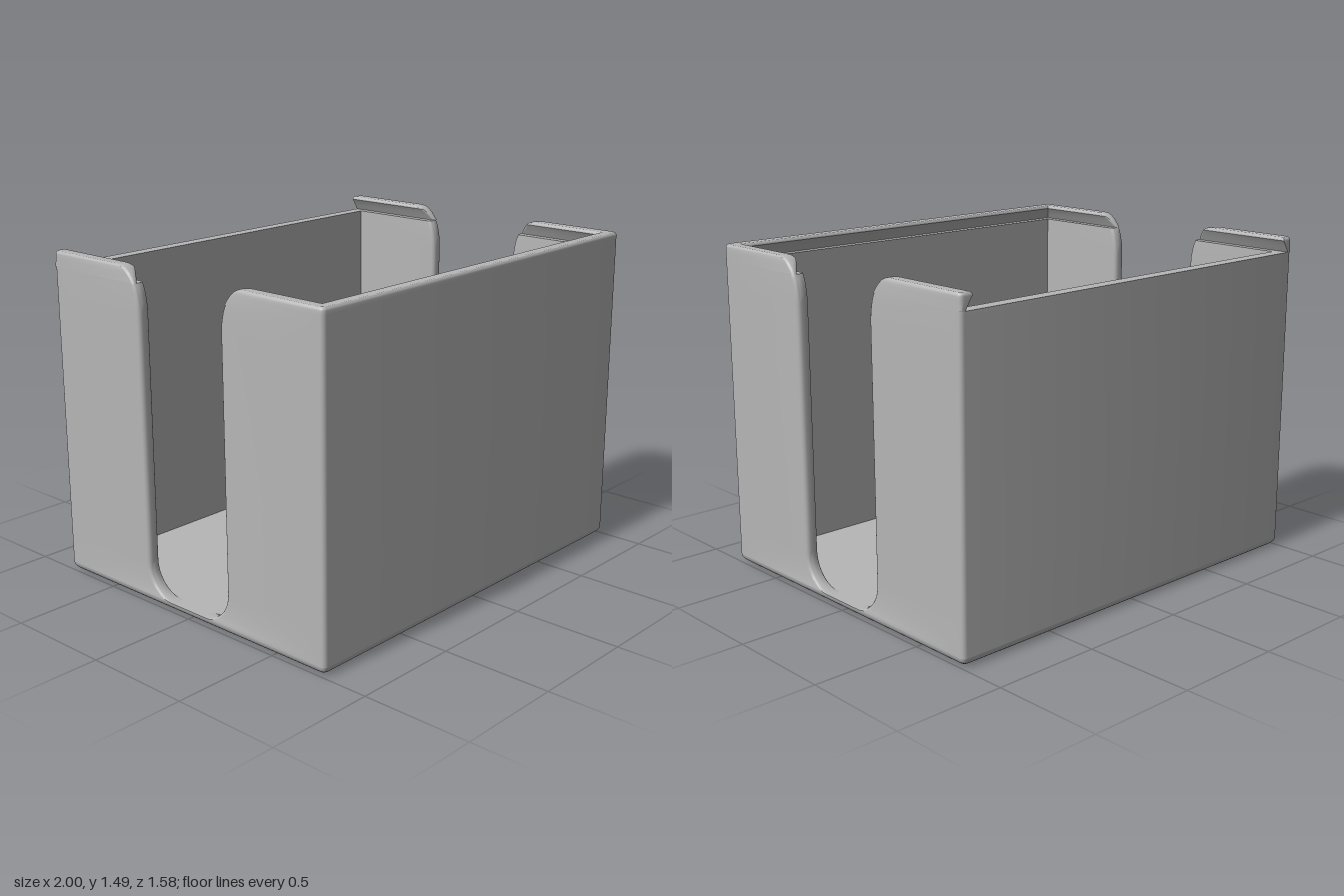
import * as THREE from 'three';
import { toCreasedNormals } from 'three/addons/utils/BufferGeometryUtils.js';

const HALF_X = 1, HALF_Z = 0.79, WALL = 0.06, FLOOR = 0.04;
const LEDGE = 1.42, TOP = 1.49, CORNER = 0.02;

// Half width of the finger slot at height y
function slotEdge(y) {
  if (y < 0.19) return 0.09 + 0.15 * Math.sqrt(Math.max(0, 1 - ((0.19 - y) / 0.15) ** 2));
  if (y > 1.3) return 0.36 - 0.12 * Math.sqrt(Math.max(0, 1 - ((y - 1.3) / 0.19) ** 2));
  return 0.24;
}

// Quarter arc points [x, z] around a centre
function arc(cx, cz, r, from, steps = 4) {
  return Array.from({ length: steps + 1 }, (_, i) => {
    const a = from + (i / steps) * Math.PI / 2;
    return [cx + r * Math.cos(a), cz + r * Math.sin(a)];
  });
}

// Joins horizontal [x, z] rings at rising heights into a closed solid
function loft(levels, ringAt) {
  const rings = levels.map((l) => ringAt(l).map(([x, z]) => new THREE.Vector2(x, -z)));
  if (THREE.ShapeUtils.isClockWise(rings[0])) rings.forEach((r) => r.reverse());
  const pos = [];
  const put = (k, i) => pos.push(rings[k][i].x, levels[k].y, -rings[k][i].y);
  const n = rings[0].length, last = rings.length - 1;
  for (let k = 0; k < last; k++) {
    for (let i = 0; i < n; i++) {
      const j = (i + 1) % n;
      put(k, i); put(k, j); put(k + 1, j);
      put(k, i); put(k + 1, j); put(k + 1, i);
    }
  }
  for (const [a, b, c] of THREE.ShapeUtils.triangulateShape(rings[0], [])) {
    put(0, a); put(0, c); put(0, b);
  }
  for (const [a, b, c] of THREE.ShapeUtils.triangulateShape(rings[last], [])) {
    put(last, a); put(last, b); put(last, c);
  }
  const geo = new THREE.BufferGeometry();
  geo.setAttribute('position', new THREE.Float32BufferAttribute(pos, 3));
  return toCreasedNormals(geo, 0.6);
}

// Rounded free end of a side wall, next to the slot
function wingEnd({ y, t, inset }) {
  const e = slotEdge(y), xo = HALF_X - inset, xi = HALF_X - t + inset;
  const r = Math.min(0.02, (xo - xi) * 0.48);
  return [...arc(xi + r, e + r, r, Math.PI), ...arc(xo - r, e + r, r, 1.5 * Math.PI)];
}

// U-shaped ring: end wall with a wing on each side
function uRing(level) {
  const { t, inset } = level;
  const half = [
    [HALF_X - t + inset, HALF_Z - t + inset],
    ...wingEnd(level),
    ...arc(HALF_X - inset - CORNER, HALF_Z - inset - CORNER, CORNER, 0),
  ];
  return [...half, ...half.map(([x, z]) => [-x, z]).reverse()];
}

// Ring of a single rail, open at the end where the lid slides in
const railRing = (side) => (level) => {
  const { t, inset } = level;
  const c = Math.min(CORNER, t * 0.4);
  return [
    [HALF_X - t + inset, HALF_Z - inset],
    ...wingEnd(level),
    ...arc(HALF_X - inset - c, HALF_Z - inset - c, c, 0),
  ].map(([x, z]) => [x * side, z]);
};

// Rounded rectangle ring of the base
function baseRing({ inset }) {
  const x = HALF_X - inset - CORNER, z = HALF_Z - inset - CORNER;
  return [[1, 1], [-1, 1], [-1, -1], [1, -1]].flatMap(([sx, sz], i) =>
    arc(sx * x, sz * z, CORNER, i * Math.PI / 2));
}

export function createModel() {
  const group = new THREE.Group();
  const grey = new THREE.MeshStandardMaterial({ color: 0xb6b6b6 });
  grey.name = 'grey plastic';
  const add = (name, geo) => {
    const mesh = new THREE.Mesh(geo, grey);
    mesh.name = name;
    group.add(mesh);
  };

  // Base with rounded lower edges
  const baseLevels = Array.from({ length: 8 }, (_, i) => {
    const a = (i / 7) * Math.PI / 2;
    return { y: FLOOR * (1 - Math.cos(a)), inset: 0.05 * (1 - Math.sin(a)) };
  });
  add('base', loft(baseLevels, baseRing));

  // Wall heights up to the ledge that carries the lid
  const wallLevels = [];
  for (let i = 0; i <= 10; i++) {
    const a = (i / 10) * Math.PI / 2;
    wallLevels.push({ y: 0.19 - 0.15 * Math.cos(a), t: WALL, inset: 0 });
  }
  for (const y of [1.3, 1.34, 1.38, 1.4, LEDGE]) wallLevels.push({ y, t: WALL, inset: 0 });

  // Undercut groove and lip above the ledge
  const lipLevels = [
    { y: LEDGE, t: 0.025, inset: 0 },
    { y: 1.44, t: 0.037, inset: 0 },
    { y: 1.46, t: 0.049, inset: 0 },
    { y: 1.475, t: WALL, inset: 0 },
    { y: 1.482, t: WALL, inset: 0.001 },
    { y: 1.487, t: WALL, inset: 0.004 },
    { y: TOP, t: WALL, inset: 0.009 },
  ];

  // Front walls at full height, back walls ending at the ledge
  add('frontWalls', loft([...wallLevels, ...lipLevels], uRing));
  add('backWalls', loft(wallLevels, uRing).rotateY(Math.PI));

  // Lid rails on the back halves of both sides
  for (const side of [1, -1]) {
    add(side > 0 ? 'rightRail' : 'leftRail', loft(lipLevels, railRing(side)).rotateY(Math.PI));
  }
  return group;
}
